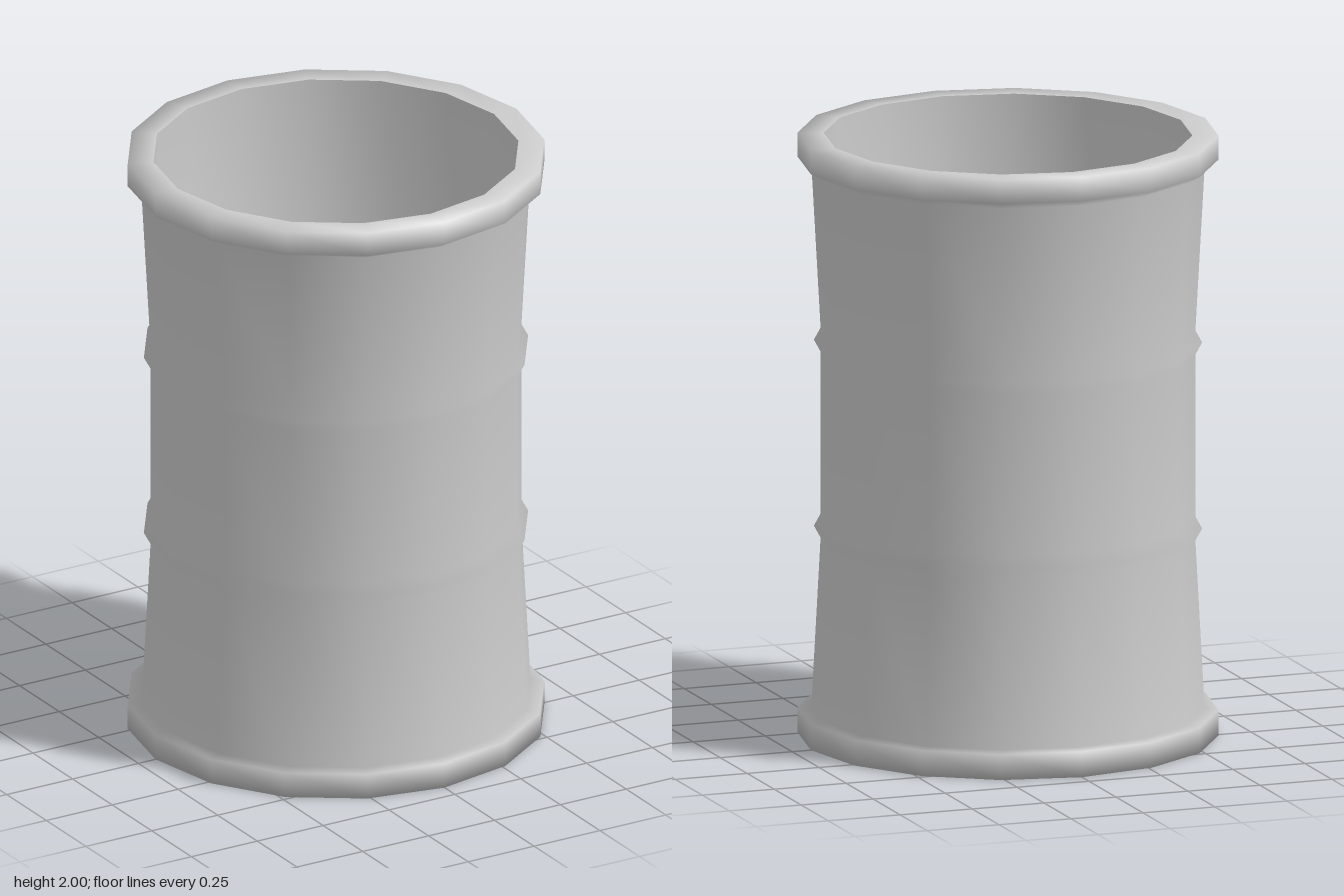
import * as THREE from 'three';

const SIDES = 16;

// Small raised band around the wall, given as three profile points
const band = (y) => [[0.61, y - 0.04], [0.632, y], [0.61, y + 0.04]];

export function createModel() {
  const group = new THREE.Group();
  group.name = 'barrel';
  const material = new THREE.MeshStandardMaterial({ color: 0xcccccc });

  const addLathe = (name, profile) => {
    const points = profile.map(([r, y]) => new THREE.Vector2(r, y));
    const mesh = new THREE.Mesh(new THREE.LatheGeometry(points, SIDES), material);
    mesh.name = name;
    group.add(mesh);
  };

  // Underside, foot flange, waisted wall with two bands, and top rim
  addLathe('outerShell', [
    [0, 0], [0.685, 0], [0.685, 0.085], [0.64, 0.09],
    ...band(0.69),
    ...band(1.31),
    [0.64, 1.895], [0.685, 1.92], [0.685, 2], [0.6, 2],
  ]);

  // Hollow inside: straight wall down to the floor
  addLathe('innerLining', [[0.6, 2], [0.6, 0.09], [0, 0.09]]);

  return group;
}
